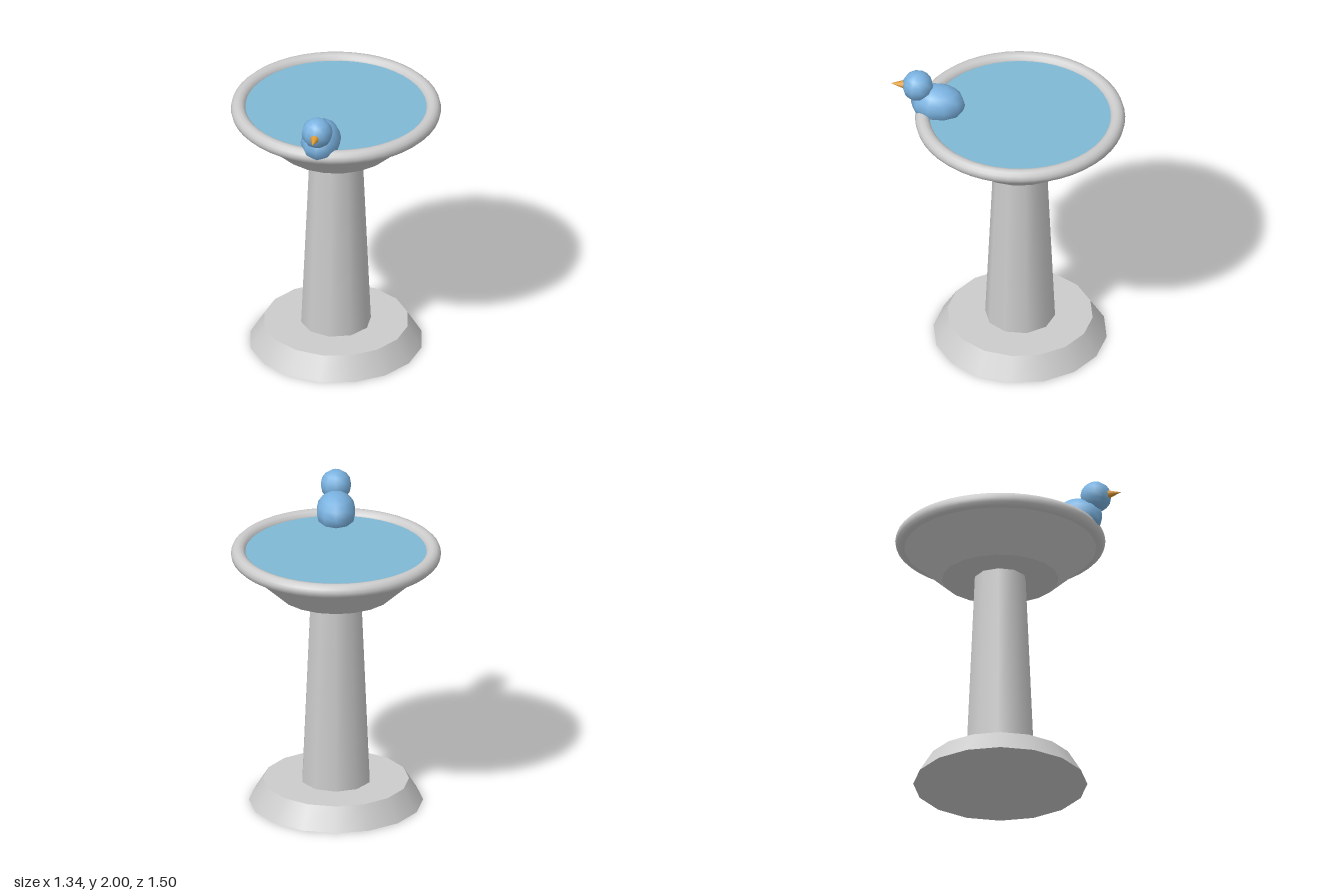
import * as THREE from 'three';

const stone = new THREE.MeshStandardMaterial({ color: 0xcccccc });
const water = new THREE.MeshStandardMaterial({ color: 0x7fb8d4 });
const feathers = new THREE.MeshStandardMaterial({ color: 0x7ab2e0 });
const horn = new THREE.MeshStandardMaterial({ color: 0xe09a30 });

function add(parent, name, geometry, material, x, y, z) {
  const mesh = new THREE.Mesh(geometry, material);
  mesh.name = name;
  mesh.position.set(x, y, z);
  parent.add(mesh);
  return mesh;
}

// Tapered drum standing between two heights
function drum(parent, name, rTop, rBottom, y0, y1, sides, material) {
  const geometry = new THREE.CylinderGeometry(rTop, rBottom, y1 - y0, sides);
  return add(parent, name, geometry, material, 0, (y0 + y1) / 2, 0);
}

// Low-poly ball with a corner pointing along z
function ball(parent, name, r, stretch, y, z) {
  const geometry = new THREE.SphereGeometry(r, 10, 8);
  geometry.rotateY(Math.PI / 2);
  geometry.scale(1, 1, stretch);
  return add(parent, name, geometry, feathers, 0, y, z);
}

export function createModel() {
  const model = new THREE.Group();
  model.name = 'birdBath';

  // Stone bath
  const bath = new THREE.Group();
  bath.name = 'bath';
  bath.position.z = -0.08;
  model.add(bath);
  drum(bath, 'base', 0.465, 0.555, 0, 0.147, 16, stone);
  drum(bath, 'column', 0.167, 0.224, 0.147, 1.438, 10, stone);
  drum(bath, 'bowl', 0.655, 0.372, 1.438, 1.695, 20, stone);
  const rim = new THREE.TorusGeometry(0.622, 0.048, 12, 48);
  rim.rotateX(Math.PI / 2);
  add(bath, 'rim', rim, stone, 0, 1.703, 0);
  drum(bath, 'water', 0.582, 0.582, 1.69, 1.717, 48, water);

  // Bird perched on the front of the rim
  const bird = new THREE.Group();
  bird.name = 'bird';
  model.add(bird);
  ball(bird, 'body', 0.128, 1.36, 1.772, 0.447);
  ball(bird, 'head', 0.1, 1, 1.9, 0.577);
  const beak = new THREE.ConeGeometry(0.036, 0.11, 8);
  beak.rotateX(Math.PI / 2);
  add(bird, 'beak', beak, horn, 0, 1.903, 0.695);

  return model;
}
